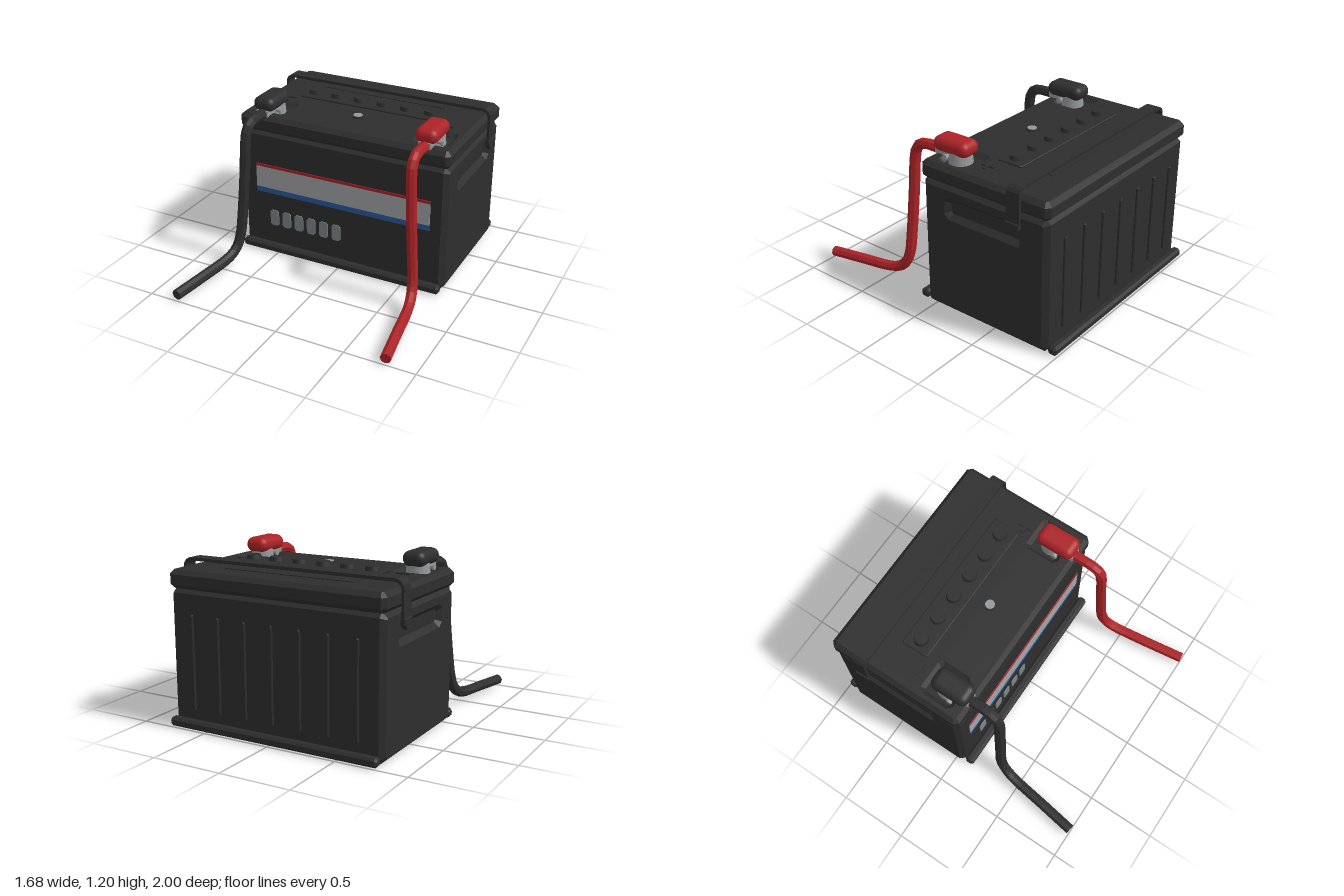
import * as THREE from 'three';
import { RoundedBoxGeometry } from 'three/addons/geometries/RoundedBoxGeometry.js';

const paint = (name, color) => {
  const m = new THREE.MeshStandardMaterial({ color });
  m.name = name;
  return m;
};

// Rectangle with cut corners, as a list of points
const cutRect = (x0, x1, y0, y1, c) => [
  [x0 + c, y0], [x1 - c, y0], [x1, y0 + c], [x1, y1 - c],
  [x1 - c, y1], [x0 + c, y1], [x0, y1 - c], [x0, y0 + c],
].map(([x, y]) => new THREE.Vector2(x, y));

// Prism centred on its axis, with chamfered end edges
function prism(points, length, bevel = 0, holes = []) {
  const shape = new THREE.Shape(points);
  shape.holes = holes.map((h) => new THREE.Path(h));
  const depth = length - 2 * bevel;
  return new THREE.ExtrudeGeometry(shape, {
    depth, bevelEnabled: bevel > 0, bevelSegments: 1,
    bevelThickness: bevel, bevelSize: bevel, bevelOffset: -bevel, curveSegments: 6,
  }).translate(0, 0, -depth / 2);
}
// Shape coordinates are (-z, y) for alongX and (x, -z) for alongY
const alongX = (...a) => prism(...a).rotateY(Math.PI / 2);
const alongY = (...a) => prism(...a).rotateX(-Math.PI / 2);

export function createModel() {
  const casing = paint('casing black', 0x2e2e2e);
  const red = paint('positive red', 0xab2327);
  const blue = paint('label blue', 0x2b5a9e);
  const silver = paint('label silver', 0xa3a4a7);
  const grey = paint('window grey', 0x7d8688);
  const metal = paint('terminal metal', 0x96999b);

  const model = new THREE.Group();
  const add = (name, geometry, material, x = 0, y = 0, z = 0, parent = model) => {
    const mesh = new THREE.Mesh(geometry, material);
    mesh.name = name;
    mesh.position.set(x, y, z);
    parent.add(mesh);
    return mesh;
  };
  const box = (w, h, d) => new THREE.BoxGeometry(w, h, d);

  // Case with grip recesses in both sides, closed by an inner core
  add('case', alongX(cutRect(-0.07, 0.93, 0, 0.945, 0.03), 1.6, 0.035,
    [cutRect(0.15, 0.715, 0.735, 0.825, 0.015)]), casing);
  add('core', box(1.53, 0.985, 0.94), casing, 0, 0.5425, -0.43);

  // Lid with a sloped terminal well on each side
  const wells = [-1, 1].map((s) => cutRect(s * 0.62 - 0.1, s * 0.62 + 0.1, 0.04, 0.235, 0.012));
  add('lid', alongY(cutRect(-0.808, 0.808, -0.08, 0.94, 0.03), 0.127, 0.03, wells),
    casing, 0, 1.0035, 0);

  // Hold-down rails along the foot
  for (const [name, z] of [['frontRail', 0.103], ['backRail', -0.967]]) {
    add(name, alongX(cutRect(-0.033, 0.033, -0.031, 0.031, 0.016), 1.575, 0.014), casing, 0, 0.036, z);
  }

  // Ribs on the back
  for (let i = -3; i <= 3; i++) {
    add('backRib', prism(cutRect(-0.011, 0.011, -0.33, 0.33, 0.006), 0.026, 0.005),
      casing, i * 0.207, 0.45, -0.932);
  }

  // Front label stripes and indicator windows
  add('labelRed', box(1.37, 0.02, 0.007), red, 0, 0.68, 0.0725);
  add('labelBand', box(1.37, 0.165, 0.007), silver, 0, 0.5875, 0.0725);
  add('labelBlue', box(1.37, 0.04, 0.007), blue, 0, 0.485, 0.0725);
  for (let i = 0; i < 6; i++) {
    add('window', prism(cutRect(-0.035, 0.035, -0.063, 0.063, 0.014), 0.008),
      grey, -0.543 + i * 0.102, 0.267, 0.073);
  }

  // Vent strip with six caps, and the charge eye
  add('ventStrip', alongY(cutRect(-0.545, 0.545, -0.1, 0.1, 0.012), 0.014, 0.005), casing, 0, 1.09, -0.44);
  for (let i = 0; i < 6; i++) {
    add('ventCap', new THREE.CylinderGeometry(0.046, 0.054, 0.034, 16), casing,
      -0.459 + i * 0.1836, 1.108, -0.44);
  }
  add('eyeRim', new THREE.CylinderGeometry(0.044, 0.044, 0.012, 16), casing, 0, 1.078, -0.21);
  add('eye', new THREE.CylinderGeometry(0.033, 0.033, 0.006, 16), metal, 0, 1.086, -0.21);
  add('handleRest', box(0.97, 0.006, 0.1), casing, 0, 1.069, -0.685);

  // Polarity marks
  for (const s of [-1, 1]) add('polarityBar', box(0.1, 0.009, 0.02), casing, s * 0.62, 1.072, -0.335);
  add('polarityUpright', box(0.02, 0.0085, 0.1), casing, 0.62, 1.072, -0.335);

  // Carrying strap folded over the lid
  const edge = (w, top, r) => {
    const half = [];
    for (let i = 0; i <= 4; i++) {
      const a = (i / 4) * Math.PI / 2;
      half.push([w - r + r * Math.cos(a), top - r + r * Math.sin(a)]);
    }
    const right = [[w, 0.85], ...half];
    return [...right, ...right.slice().reverse().map(([x, y]) => [-x, y])]
      .map(([x, y]) => new THREE.Vector2(x, y));
  };
  add('strap', prism([...edge(0.83, 1.122, 0.065), ...edge(0.812, 1.1, 0.045).reverse()], 0.1),
    casing, 0, 0, -0.69);
  const tab = [[-0.05, 0.88], [0.05, 0.88], [0.05, 0.84], [0.02, 0.808], [-0.02, 0.808], [-0.05, 0.84]]
    .map(([x, y]) => new THREE.Vector2(x, y));
  for (const s of [-1, 1]) add('strapEnd', alongX(tab, 0.036, 0.005), casing, s * 0.822, 0, -0.69);

  // Terminals: post, clamp, boot and cable, mirrored for each pole
  const cablePath = [
    [0.62, 1.08, -0.02], [0.62, 1.08, 0.08], [0.62, 1.079, 0.18], [0.622, 1.065, 0.235],
    [0.625, 1.03, 0.268], [0.628, 0.96, 0.285], [0.642, 0.7, 0.298], [0.668, 0.36, 0.316],
    [0.68, 0.24, 0.326], [0.69, 0.15, 0.358], [0.702, 0.1, 0.41], [0.716, 0.075, 0.49],
    [0.75, 0.06, 0.73], [0.79, 0.047, 0.994],
  ];
  for (const [name, s, colour] of [['positiveTerminal', 1, red], ['negativeTerminal', -1, casing]]) {
    const terminal = new THREE.Group();
    terminal.name = name;
    model.add(terminal);
    const part = (n, g, m, x, y, z) => add(n, g, m, x, y, z, terminal);
    const x = s * 0.62;

    part('clampRing', new THREE.CylinderGeometry(0.075, 0.082, 0.08, 16), metal, x, 1.073, -0.11);
    part('clampLug', box(0.09, 0.045, 0.13), metal, x, 1.085, 0.005);
    part('clampBolt', new THREE.CylinderGeometry(0.014, 0.014, 0.18, 6).rotateZ(Math.PI / 2),
      metal, x, 1.078, -0.05);
    for (const e of [-1, 1]) {
      part('boltHead', new THREE.CylinderGeometry(0.022, 0.022, 0.016, 6).rotateZ(Math.PI / 2),
        metal, x + e * 0.084, 1.078, -0.05);
    }
    part('boot', new RoundedBoxGeometry(0.164, 0.105, 0.284, 4, 0.05), colour, x, 1.143, -0.07);

    const curve = new THREE.CatmullRomCurve3(
      cablePath.map(([px, py, pz]) => new THREE.Vector3(s * px, py, pz)), false, 'centripetal');
    const tube = new THREE.TubeGeometry(curve, 40, 0.038, 8).toNonIndexed();
    tube.computeVertexNormals();
    part('cable', tube, colour, 0, 0, 0);

    // Cut end of the cable
    const end = curve.getPoint(1);
    const cap = part('cableEnd', new THREE.CircleGeometry(0.038, 8), colour, end.x, end.y, end.z);
    cap.lookAt(end.clone().add(curve.getTangent(1)));
  }
  return model;
}
